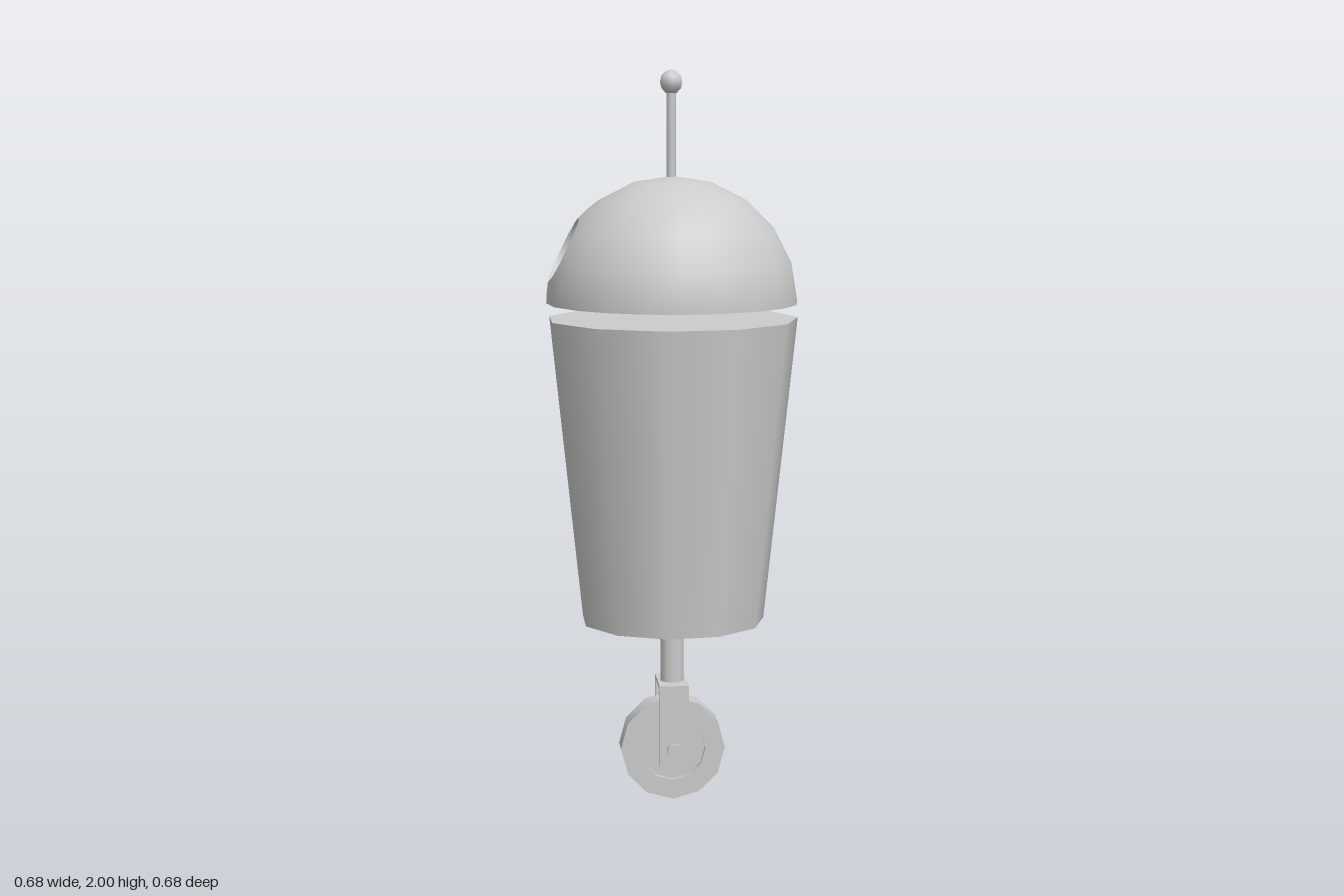
import * as THREE from 'three';
import { mergeVertices, toCreasedNormals } from 'three/addons/utils/BufferGeometryUtils.js';

const material = new THREE.MeshStandardMaterial({ color: 0xcccccc });
const DEG = Math.PI / 180;

function add(parent, name, geometry, x = 0, y = 0, z = 0) {
  const mesh = new THREE.Mesh(geometry, material);
  mesh.name = name;
  mesh.position.set(x, y, z);
  parent.add(mesh);
  return mesh;
}

// Triangles between consecutive rows of points, appended to out
function loft(rows, out) {
  for (let j = 0; j + 1 < rows.length; j++) {
    const a = rows[j], b = rows[j + 1];
    for (let i = 0; i + 1 < a.length; i++) {
      for (const p of [a[i], a[i + 1], b[i + 1], a[i], b[i + 1], b[i]]) out.push(p.x, p.y, p.z);
    }
  }
}

function smoothGeometry(positions) {
  const g = new THREE.BufferGeometry();
  g.setAttribute('position', new THREE.Float32BufferAttribute(positions, 3));
  const merged = mergeVertices(g, 1e-5);
  merged.computeVertexNormals();
  return merged;
}

// Hemisphere with a round socket opening on its -x side
function buildDome(R) {
  const head = new THREE.Group();
  head.name = 'head';
  const step = 18 * DEG;
  const at = (i, j) => new THREE.Vector3(
    -Math.cos(j * step) * Math.cos(i * step), Math.sin(j * step), Math.cos(j * step) * Math.sin(i * step)
  ).multiplyScalar(R);
  const row = (j, from, to) => Array.from({ length: to - from + 1 }, (_, k) => at(from + k, j));
  const shell = [];

  // Full rings above the opening, partial rings beside it
  loft([3, 4, 5].map((j) => row(j, 0, 20)), shell);
  loft([0, 1, 2, 3].map((j) => row(j, 2, 18)), shell);

  // Border of the gap, bridged to the round rim
  const border = [
    ...row(0, -2, 2), at(2, 1), at(2, 2), ...row(3, -2, 2).reverse(), at(-2, 2), at(-2, 1), at(-2, 0),
  ];
  const axis = new THREE.Vector3(-Math.cos(26 * DEG), Math.sin(26 * DEG), 0);
  const open = 16.3 * DEG;
  const spokes = border.map((p) => p.clone().projectOnPlane(axis).normalize());
  const rim = spokes.map((s) => axis.clone().multiplyScalar(R * Math.cos(open)).addScaledVector(s, R * Math.sin(open)));
  const middle = border.map((p, i) => p.clone().add(rim[i]).setLength(R));
  loft([border, middle, rim], shell);

  const shellGeometry = new THREE.BufferGeometry();
  shellGeometry.setAttribute('position', new THREE.Float32BufferAttribute(shell, 3));
  shellGeometry.setAttribute('normal', new THREE.Float32BufferAttribute(shell.map((v) => v / R), 3));
  add(head, 'dome', shellGeometry);

  // Concave socket behind the rim
  const bowl = [];
  const rings = [0, 22.5, 45, 67.5, 90].map((t) => spokes.map((s) => axis.clone()
    .multiplyScalar(R * Math.cos(open) - 0.08 * Math.sin(t * DEG))
    .addScaledVector(s, R * Math.sin(open) * Math.cos(t * DEG))));
  loft(rings, bowl);
  add(head, 'socket', smoothGeometry(bowl));

  add(head, 'domeBase', new THREE.CircleGeometry(R, 20).rotateX(Math.PI / 2));
  return head;
}

// Single wheel in a fork below the body
function buildWheelUnit() {
  const unit = new THREE.Group();
  unit.name = 'wheelUnit';
  add(unit, 'leg', new THREE.CylinderGeometry(0.032, 0.032, 0.19, 12), 0, 0.42, 0);

  // Fork: top bridge and two arms
  add(unit, 'forkBridge', new THREE.BoxGeometry(0.08, 0.01, 0.15), 0, 0.325, 0);
  for (const s of [-1, 1]) {
    add(unit, 'forkArm', new THREE.BoxGeometry(0.08, 0.225, 0.01), 0, 0.2175, s * 0.07);
  }

  // Wheel with a recessed hub on both faces
  const profile = [
    [0, -0.022], [0.09, -0.022], [0.09, -0.036], [0.144, -0.036],
    [0.144, 0.036], [0.09, 0.036], [0.09, 0.022], [0, 0.022],
  ].map(([r, h]) => new THREE.Vector2(r, h));
  const wheel = toCreasedNormals(new THREE.LatheGeometry(profile, 12), 40 * DEG);
  add(unit, 'wheel', wheel.rotateX(Math.PI / 2), 0, 0.145, 0);
  add(unit, 'axle', new THREE.CylinderGeometry(0.021, 0.021, 0.178, 10).rotateX(Math.PI / 2), 0, 0.148, 0);
  return unit;
}

export function createModel() {
  const model = new THREE.Group();
  model.name = 'oneWheeledRobot';

  // Tapered body
  add(model, 'body', new THREE.CylinderGeometry(0.342, 0.252, 0.83, 11).rotateY(Math.PI / 2), 0, 0.92, 0);

  // Head floating just above the body
  const head = buildDome(0.34);
  head.position.y = 1.378;
  model.add(head);

  // Antenna
  add(model, 'antennaRod', new THREE.CylinderGeometry(0.013, 0.013, 0.27, 8), -0.003, 1.825, 0);
  add(model, 'antennaBall', new THREE.SphereGeometry(0.033, 6, 6).rotateY(Math.PI / 2), -0.003, 1.967, 0);

  const wheelUnit = buildWheelUnit();
  wheelUnit.position.z = -0.014;
  model.add(wheelUnit);
  return model;
}
